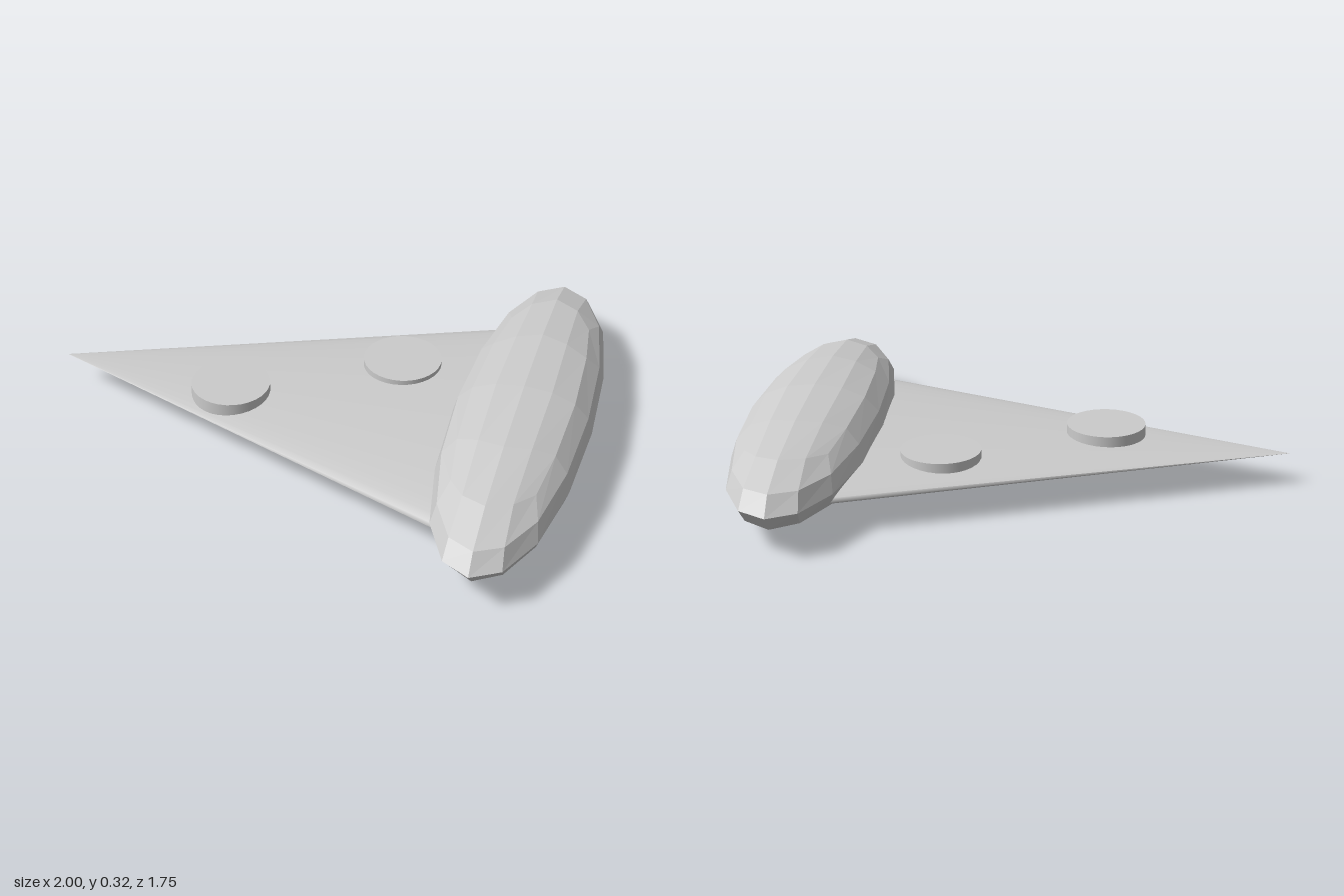
import * as THREE from 'three';

const grey = new THREE.MeshStandardMaterial({ color: 0xcccccc });
const faceted = new THREE.MeshStandardMaterial({ color: 0xcccccc, flatShading: true });

function addPart(group, name, geometry, material, x, y, z) {
  const mesh = new THREE.Mesh(geometry, material);
  mesh.name = name;
  mesh.position.set(x, y, z);
  group.add(mesh);
  return mesh;
}

// A box of 4 x 4 x 4 cells rounded off like a twice-subdivided cube.
// Each kind of grid point gives new distances for its 0, half and full coordinates.
function roundedBlob(rx, ry, rz) {
  const rules = {
    '1,0,0': { 1: 1 },
    '1,0.5,0': { 1: 0.933, 0.5: 0.399 },
    '1,0.5,0.5': { 1: 0.87, 0.5: 0.371 },
    '1,1,0': { 1: 0.732 },
    '1,1,0.5': { 1: 0.682, 0.5: 0.344 },
    '1,1,1': { 1: 0.58 },
  };
  const geometry = new THREE.BoxGeometry(2, 2, 2, 4, 4, 4);
  const pos = geometry.attributes.position;
  for (let i = 0; i < pos.count; i++) {
    const p = [pos.getX(i), pos.getY(i), pos.getZ(i)];
    const rule = rules[p.map(Math.abs).sort((a, b) => b - a).join(',')];
    const [x, y, z] = p.map((v) => Math.sign(v) * (rule[Math.abs(v)] ?? 0));
    pos.setXYZ(i, x * rx, y * ry, z * rz);
  }
  geometry.computeVertexNormals();
  return geometry;
}

export function createModel() {
  const group = new THREE.Group();
  group.name = 'pizzaSlice';

  // Thick crust across the wide end
  addPart(group, 'crust', roundedBlob(0.254, 0.16, 0.877), faceted, 0.746, 0.16, 0);

  // Slice: a flattened cone with its point at -x, its base hidden in the crust
  const length = 1.7;
  const slice = new THREE.ConeGeometry(1, length, 32);
  slice.rotateZ(Math.PI / 2);
  slice.scale(1, 0.056, 0.67);
  addPart(group, 'slice', slice, grey, -1 + length / 2, 0.12, 0);

  // Round toppings
  for (const [x, z] of [[-0.325, 0.08], [0.245, -0.24]]) {
    addPart(group, 'topping', new THREE.CylinderGeometry(0.145, 0.145, 0.05, 32), grey, x, 0.155, z);
  }
  return group;
}
